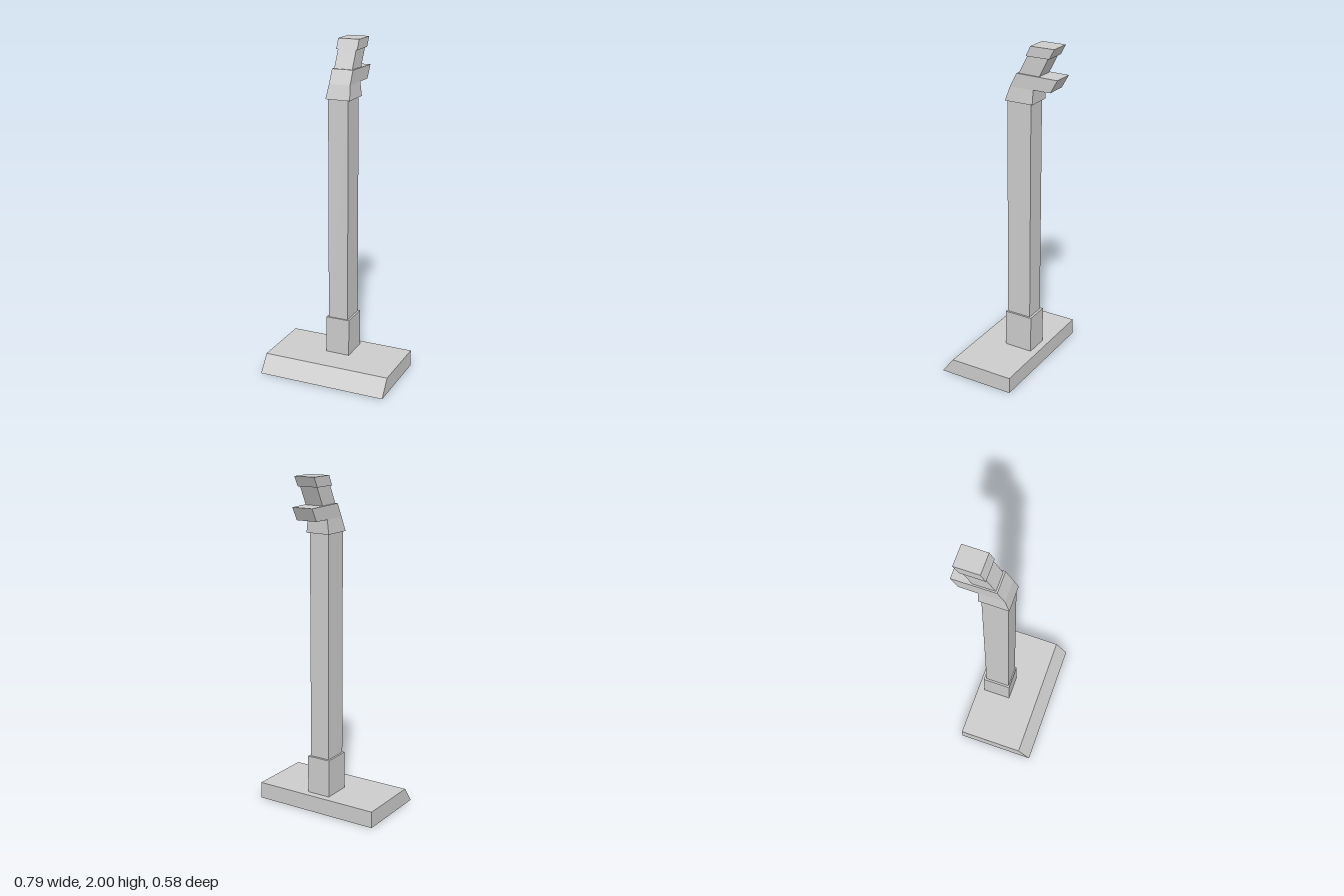
import * as THREE from 'three';

const material = new THREE.MeshStandardMaterial({ color: 0xcccccc, flatShading: true });

// Solid from a side profile of [z, y] points, centred on x = 0
function slab(name, halfWidth, profile) {
  const shape = new THREE.Shape(profile.map(([z, y]) => new THREE.Vector2(z, y)));
  const geometry = new THREE.ExtrudeGeometry(shape, { depth: halfWidth * 2, bevelEnabled: false });
  geometry.translate(0, 0, -halfWidth).rotateY(-Math.PI / 2);
  const mesh = new THREE.Mesh(geometry, material);
  mesh.name = name;
  return mesh;
}

// Upright block between two heights and two depths
const block = (name, halfWidth, y0, y1, back, front) =>
  slab(name, halfWidth, [[back, y0], [front, y0], [front, y1], [back, y1]]);

export function createModel() {
  const model = new THREE.Group();
  model.name = 'post';

  // Foot plate with a sloping front
  model.add(slab('base', 0.397, [[-0.183, 0], [0.29, 0], [0.215, 0.1], [-0.183, 0.1]]));

  // Collar and tall column
  model.add(block('collar', 0.074, 0.1, 0.33, -0.14, 0.035));
  model.add(block('column', 0.062, 0.33, 1.674, -0.125, 0.027));

  // Skirt of the head, flaring out towards the column
  const skirt = slab('headSkirt', 0.065, [[-0.14, 1.674], [0.035, 1.674], [0.008, 1.757], [-0.14, 1.757]]);
  const p = skirt.geometry.attributes.position;
  for (let i = 0; i < p.count; i++) {
    if (p.getY(i) < 1.7) p.setX(i, Math.sign(p.getX(i)) * 0.075);
  }
  skirt.geometry.computeVertexNormals();
  model.add(skirt);

  // Head with the arm reaching backwards
  model.add(slab('headArm', 0.065, [
    [0.008, 1.757], [-0.034, 1.838], [-0.29, 1.833], [-0.247, 1.757],
  ]));

  // Leaning neck and its cap
  model.add(slab('neck', 0.056, [[-0.172, 1.834], [-0.042, 1.834], [-0.098, 1.944], [-0.228, 1.944]]));
  model.add(slab('cap', 0.065, [[-0.237, 1.942], [-0.092, 1.942], [-0.12, 2], [-0.268, 2]]));

  return model;
}
